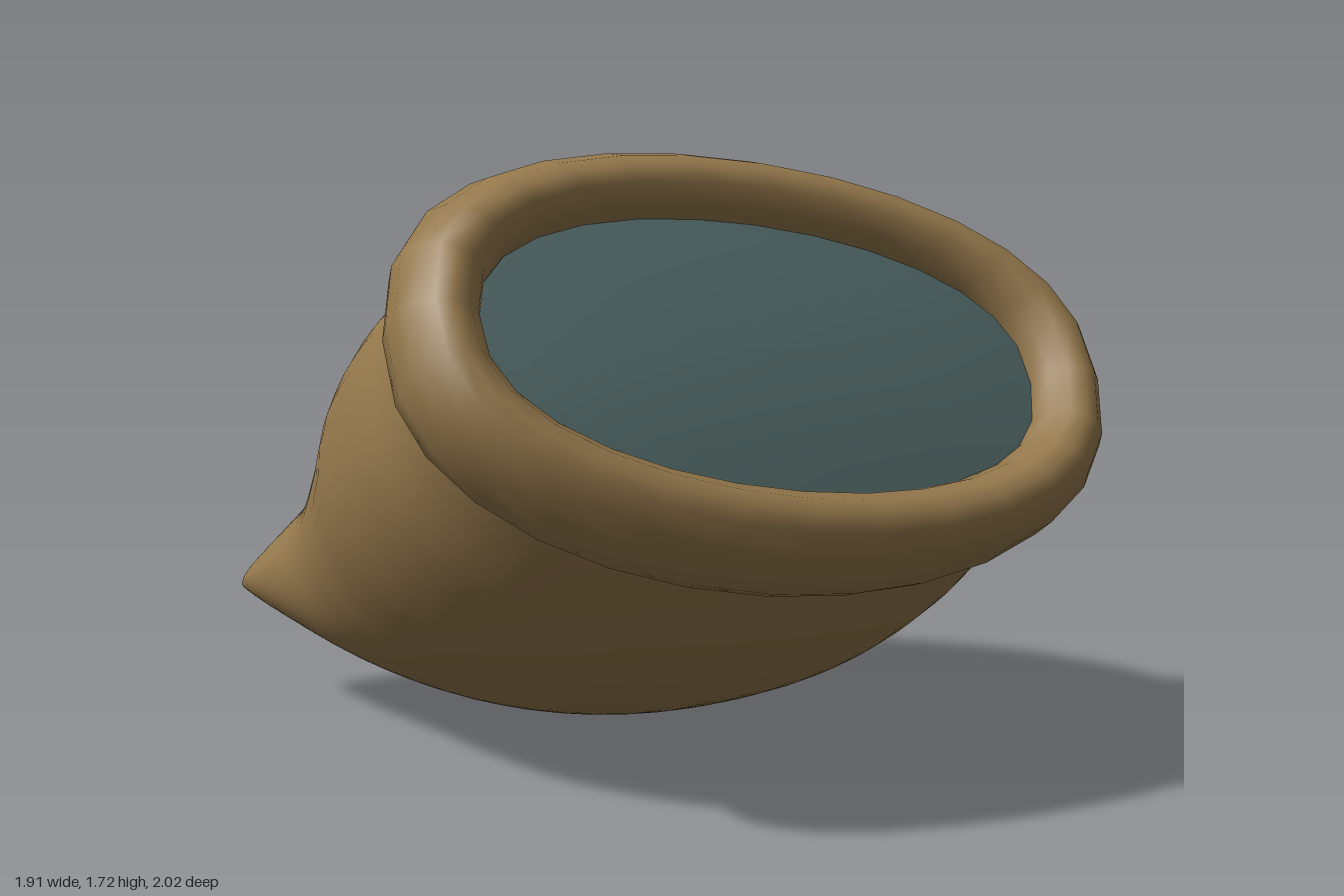
import * as THREE from 'three';

const material = (name, color, side = THREE.FrontSide) => {
  const m = new THREE.MeshStandardMaterial({ color, side });
  m.name = name;
  return m;
};

// The sack leans back and is rolled a little about its own long axis.
// Sack space: x across, n through the thickness, a from seam to mouth.
const ROLL = 0.175, C = Math.cos(ROLL), S = Math.sin(ROLL);
const AY = 0.55, AZ = 0.835;
// The middle of the thickness rises slightly towards the seam
const middle = (a) => 0.708 - 0.04 * THREE.MathUtils.smoothstep(a, -0.65, -0.2);
function toWorld(x, n, a) {
  const u = middle(a) + n * C - x * S;
  return new THREE.Vector3(x * C + n * S, AY * a + AZ * u, AZ * a - AY * u);
}

// Skin rows of points into a smooth surface
function loft(rows, closed = true) {
  const w = rows[0].length, index = [];
  for (let i = 0; i < rows.length - 1; i++) {
    for (let j = 0; j < (closed ? w : w - 1); j++) {
      const k = (j + 1) % w;
      const p = i * w + j, q = i * w + k, r = p + w, s = q + w;
      index.push(p, q, r, q, s, r);
    }
  }
  const geo = new THREE.BufferGeometry().setFromPoints(rows.flat());
  geo.setIndex(index);
  geo.computeVertexNormals();
  return geo;
}

// Cross-section: boxy for k < 1, lens-like for k > 1; bow pushes the sides towards the mouth
function section(a, A, B, k, count, shift = 0, bow = 0) {
  return Array.from({ length: count }, (_, j) => {
    const t = (j / count) * Math.PI * 2, s = Math.sin(t), c = Math.cos(t);
    return toWorld(shift + A * c, B * Math.sign(s) * Math.abs(s) ** k, a + bow * c * c);
  });
}

// Body profile: position along the axis, half width, half thickness
const BODY_SHIFT = 0.013;
const profile = new THREE.CatmullRomCurve3([
  [-0.635, 0.88, 0], [-0.632, 0.905, 0.06], [-0.61, 0.92, 0.14], [-0.545, 0.925, 0.26],
  [-0.42, 0.9, 0.385], [-0.2, 0.86, 0.482], [0.066, 0.88, 0.555], [0.4, 0.93, 0.61],
  [0.7, 0.93, 0.603], [0.9, 0.895, 0.575], [1.12, 0.87, 0.525],
].map((p) => new THREE.Vector3(...p))).getPoints(50);
const roundness = (a) => 1.17 - 0.29 * THREE.MathUtils.smoothstep(a, -0.6, 0.1);

// Thickness of the upper skin at a place on the sack
function skin(x, a) {
  let i = 1;
  while (i < profile.length - 1 && profile[i].x < a) i++;
  const p = profile[i - 1], q = profile[i];
  const t = THREE.MathUtils.clamp((a - p.x) / (q.x - p.x), 0, 1);
  const A = p.y + (q.y - p.y) * t, B = p.z + (q.z - p.z) * t;
  return B * Math.max(0, 1 - ((x - BODY_SHIFT) / A) ** 2) ** (roundness(a) / 2);
}

// Point above the upper skin for a plan position X, Z
function onSkin(X, Z, lift) {
  let x = X, a = 0.5, n = 0.6;
  for (let i = 0; i < 30; i++) {
    n = skin(x, a);
    x = (X - n * S) / C;
    a = (Z + AY * (middle(a) + n * C - x * S)) / AZ;
  }
  return toWorld(x, n + lift, a);
}

// Puffy leaf from a plan outline
function leaf(outline) {
  const pts = new THREE.CatmullRomCurve3(
    outline.map(([x, z]) => new THREE.Vector3(x, 0, z + 0.015)), true).getPoints(36).slice(0, -1);
  const mid = pts.reduce((s, p) => s.add(p), new THREE.Vector3()).divideScalar(pts.length);
  const rings = [[0.96, -0.025], [1, 0.01], [0.99, 0.03], [0.93, 0.046], [0.8, 0.056], [0.4, 0.062], [0, 0.064]];
  return loft(rings.map(([f, lift]) => pts.map((p) =>
    onSkin(mid.x + (p.x - mid.x) * f, mid.z + (p.z - mid.z) * f, lift))));
}

// Arched ridge with curled-in feet along a plan path; each stop is x, z, half width, height
function ridge(stops) {
  const path = new THREE.CatmullRomCurve3(stops.map(([x, z]) => new THREE.Vector3(x, 0, z)));
  const size = new THREE.CatmullRomCurve3(stops.map(([, , w, h], i) => new THREE.Vector3(w, h, i * 0.1)));
  const rows = [];
  for (let i = 0; i <= 14; i++) {
    const p = path.getPoint(i / 14), d = path.getTangent(i / 14), s = size.getPoint(i / 14);
    rows.push(Array.from({ length: 17 }, (_, j) => {
      const t = -0.6 + (j / 16) * (Math.PI + 1.2), o = s.x * Math.cos(t);
      return onSkin(p.x - d.z * o, p.z + d.x * o, s.y * (0.35 + 0.65 * Math.sin(t)));
    }));
  }
  return loft(rows, false);
}

export function createModel() {
  const cloth = material('brown cloth', 0x94784c);
  const filling = material('teal filling', 0x4a605f);
  const stemGreen = material('stem green', 0x568a38, THREE.DoubleSide);
  const leafYellow = material('leaf yellow', 0xa9a322);

  const group = new THREE.Group();
  group.name = 'sack';
  const add = (name, geo, mat) => {
    const mesh = new THREE.Mesh(geo, mat);
    mesh.name = name;
    group.add(mesh);
  };

  // Pillow-shaped body ending in a straight seam
  add('body', loft(profile.map((p) => section(p.x, p.y, p.z, roundness(p.x), 64, BODY_SHIFT))), cloth);

  // Rolled cuff round the mouth: axial position, offset from its outer edge, bow of the sides
  const cuff = [[1.08, -0.14, 0], [1.09, -0.06, 0.02], [1.06, -0.04, 0.05], [1.035, -0.012, 0.06],
    [1.08, 0, 0.08], [1.17, -0.003, 0.06], [1.25, -0.03, 0.03], [1.305, -0.07, 0.015], [1.33, -0.11, 0],
    [1.32, -0.15, 0], [1.28, -0.185, 0], [1.23, -0.202, 0], [1.13, -0.205, 0]];
  add('rolledCuff', loft(cuff.map(([a, o, bow]) =>
    section(a, 0.962 + o, 0.573 + o, 0.82, 28, 0, bow))), cloth);

  // Slightly domed filling inside the mouth
  add('filling', loft([1, 0.8, 0.6, 0.4, 0.2, 0].map((f) =>
    section(1.265 - 0.045 * f * f, 0.775 * f, 0.385 * f, 0.82, 28))), filling);

  // Sprout on the upper side
  add('leftLeaf', leaf([[0.54, -0.05], [0.46, -0.16], [0.38, -0.25], [0.27, -0.3], [0.16, -0.29], [0.08, -0.21],
    [0.08, -0.14], [0.16, -0.06], [0.26, 0], [0.37, 0.02], [0.5, 0.01]]), leafYellow);
  add('rightLeaf', leaf([[-0.34, 0], [-0.26, 0.02], [-0.14, 0.02], [-0.04, -0.01], [0.03, -0.08], [0.05, -0.19],
    [-0.02, -0.25], [-0.14, -0.27], [-0.24, -0.22], [-0.31, -0.13], [-0.35, -0.03]]), leafYellow);
  add('stem', ridge([[0.04, -0.685, 0.12, 0.15], [0.035, -0.54, 0.09, 0.11],
    [0.035, -0.38, 0.066, 0.075], [0.04, -0.19, 0.06, 0.068]]), stemGreen);
  add('leftBranch', ridge([[0.035, -0.33, 0.05, 0.065], [0.11, -0.2, 0.05, 0.085],
    [0.25, -0.11, 0.036, 0.097], [0.415, -0.07, 0.018, 0.085]]), stemGreen);
  add('rightBranch', ridge([[0.045, -0.33, 0.05, 0.065], [-0.02, -0.2, 0.05, 0.085],
    [-0.12, -0.1, 0.036, 0.097], [-0.23, -0.045, 0.018, 0.085]]), stemGreen);

  return group;
}
